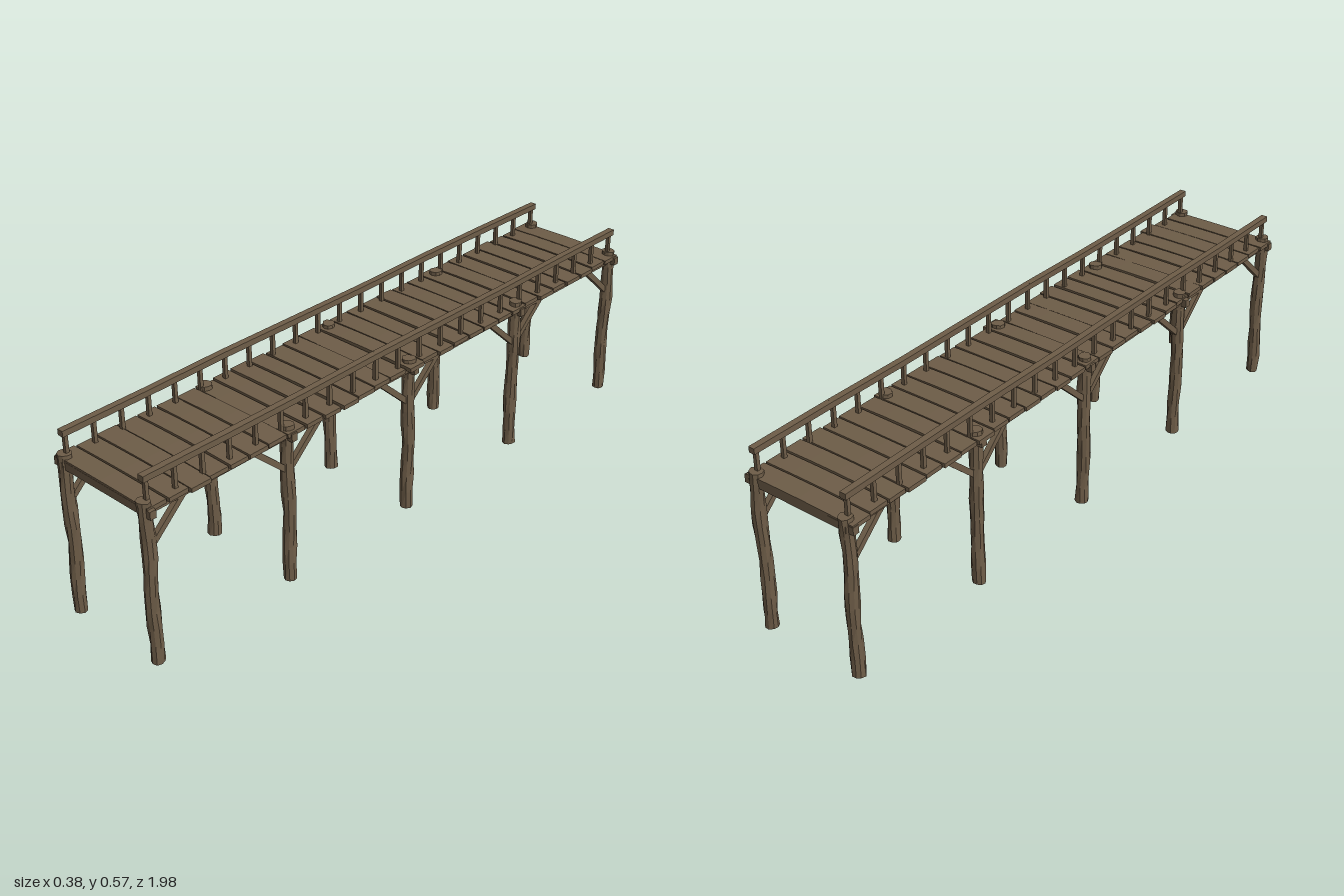
import * as THREE from 'three';

const wood = new THREE.MeshStandardMaterial({ color: 0x6e5d48 });
wood.name = 'weathered wood';
wood.flatShading = true;

const POST_X = 0.157;
const BENTS = [-0.97, -0.485, 0, 0.485, 0.97];

// Seeded random in -1..1
let seed = 7;
const rnd = () => {
  seed = (seed * 16807) % 2147483647;
  return (seed / 2147483647) * 2 - 1;
};

function add(parent, name, geometry, x = 0, y = 0, z = 0) {
  const mesh = new THREE.Mesh(geometry, wood);
  mesh.name = name;
  mesh.position.set(x, y, z);
  parent.add(mesh);
  return mesh;
}

// Square timber running from point a to point b
function timber(parent, name, a, b, w, h) {
  const from = new THREE.Vector3(...a), to = new THREE.Vector3(...b);
  const mid = from.clone().add(to).multiplyScalar(0.5);
  const mesh = add(parent, name, new THREE.BoxGeometry(w, h, from.distanceTo(to)), mid.x, mid.y, mid.z);
  mesh.lookAt(to);
  return mesh;
}

// Rough log: a cylinder whose radius and axis wander with height
function logGeometry(height, phase) {
  const g = new THREE.CylinderGeometry(0.0195, 0.0195, height, 9, 9);
  const p = g.attributes.position;
  for (let i = 0; i < p.count; i++) {
    const x = p.getX(i), y = p.getY(i), z = p.getZ(i);
    const a = Math.atan2(z, x);
    const k = 1 + 0.07 * Math.sin(2 * a + 31 * y + phase) + 0.06 * Math.sin(3 * a - 47 * y + 2 * phase);
    p.setX(i, x * k + 0.0018 * Math.sin(17 * y + phase));
    p.setZ(i, z * k + 0.0018 * Math.cos(21 * y + phase * 3));
  }
  g.computeVertexNormals();
  return g;
}

export function createModel() {
  const model = new THREE.Group();
  model.name = 'woodenPier';

  // Posts and knee braces
  const supports = new THREE.Group();
  supports.name = 'supports';
  model.add(supports);
  for (const side of [-1, 1]) {
    const x = side * POST_X;
    for (const z of BENTS) {
      add(supports, 'post', logGeometry(0.5, 3 * rnd()), x, 0.25, z);
      for (const dir of [-1, 1]) {
        if (Math.abs(z + dir * 0.12) > 1) continue;
        timber(supports, 'kneeBrace', [x, 0.355, z], [x, 0.47, z + dir * 0.125], 0.016, 0.017);
      }
    }
    timber(supports, 'stringer', [x, 0.47, -0.985], [x, 0.47, 0.985], 0.02, 0.02);
  }

  // Cross beams and crossed bracing under the deck
  for (const z of BENTS) {
    add(supports, 'crossBeam', new THREE.BoxGeometry(0.376, 0.024, 0.02), 0, 0.471, z);
  }
  for (let i = 0; i < BENTS.length - 1; i++) {
    for (const s of [-1, 1]) {
      const y = 0.464 + s * 0.002;
      timber(supports, 'deckBrace', [s * POST_X, y, BENTS[i]], [-s * POST_X, y, BENTS[i + 1]], 0.016, 0.014);
    }
  }

  // Uneven deck planks
  const deck = new THREE.Group();
  deck.name = 'deck';
  model.add(deck);
  const count = 29, pitch = 1.965 / count;
  for (let i = 0; i < count; i++) {
    const width = pitch - 0.006 + 0.004 * rnd();
    const z = (i - (count - 1) / 2) * pitch;
    const g = new THREE.BoxGeometry(0.366 + 0.008 * rnd(), 0.013, width, 4, 1, 1);
    const p = g.attributes.position;
    const bow = 0.002 + 0.002 * rnd();
    for (let j = 0; j < p.count; j++) {
      p.setY(j, p.getY(j) + bow * (1 - (p.getX(j) / 0.19) ** 2));
    }
    g.computeVertexNormals();
    const plank = add(deck, 'plank', g, 0.005 * rnd(), 0.481 + 0.001 * rnd(), z);
    plank.rotation.y = 0.006 * rnd();
  }

  // Railings: balusters carrying a slightly wavering handrail
  const spans = 21, endZ = 0.962;
  for (const side of [-1, 1]) {
    const railing = new THREE.Group();
    railing.name = side > 0 ? 'leftRailing' : 'rightRailing';
    model.add(railing);
    const x = side * 0.156;
    for (let i = 0; i <= spans; i++) {
      const z = endZ - (2 * endZ * i) / spans;
      add(railing, 'baluster', new THREE.BoxGeometry(0.011, 0.08, 0.011), x, 0.52, z);
    }
    const railY = (z) => 0.563 + 0.002 * Math.sin(z * 7 + side);
    for (let i = 0; i < 7; i++) {
      const z0 = -0.975 + (1.95 * i) / 7, z1 = z0 + 1.95 / 7;
      timber(railing, 'handrail', [x, railY(z0), z0], [x, railY(z1), z1], 0.02, 0.018);
    }
  }
  return model;
}
